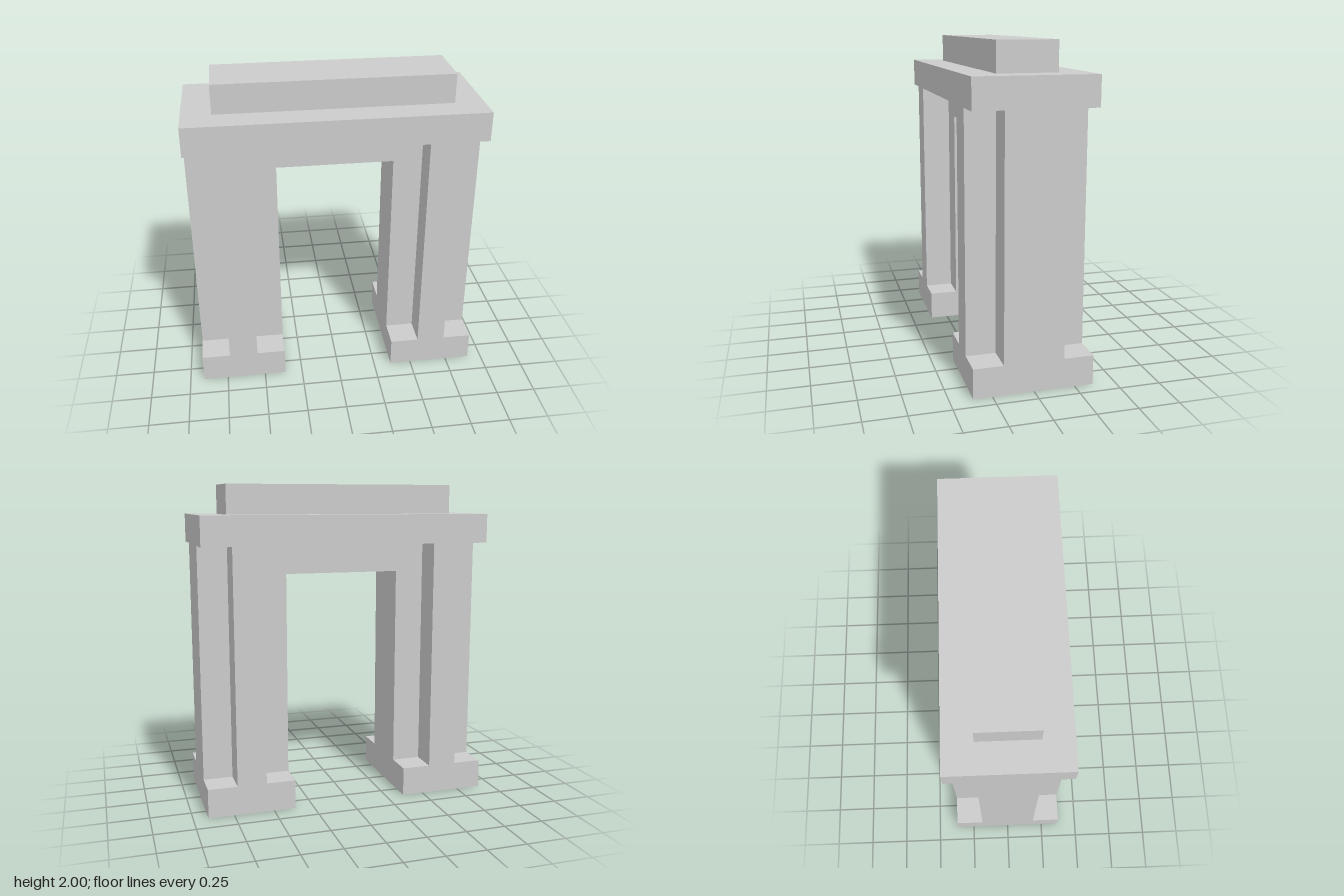
import * as THREE from 'three';

const U = 2 / 11; // the whole gate sits on an eleven-unit-high block grid

export function createModel() {
  const gate = new THREE.Group();
  gate.name = 'gate';
  const material = new THREE.MeshStandardMaterial({ color: 0xcccccc, flatShading: true });

  const add = (name, geometry) => {
    const mesh = new THREE.Mesh(geometry, material);
    mesh.name = name;
    gate.add(mesh);
    return mesh;
  };

  // Box given by its extents in grid units
  const block = (name, [x0, x1], [y0, y1], [z0, z1]) => {
    const mesh = add(name, new THREE.BoxGeometry((x1 - x0) * U, (y1 - y0) * U, (z1 - z0) * U));
    mesh.position.set((x0 + x1) / 2, (y0 + y1) / 2, (z0 + z1) / 2).multiplyScalar(U);
  };

  // Arch core: both leg walls and the lintel in one piece
  const outline = [[-5, 1], [-2, 1], [-2, 8], [2, 8], [2, 1], [5, 1], [5, 9], [-5, 9]];
  const arch = new THREE.Shape(outline.map(([x, y]) => new THREE.Vector2(x * U, y * U)));
  const core = new THREE.ExtrudeGeometry(arch, { depth: 2 * U, bevelEnabled: false });
  core.translate(0, 0, -U);
  add('archCore', core);

  // Feet, and pilasters on the front and back of each leg
  for (const [side, sx] of [['left', 1], ['right', -1]]) {
    const mirror = (a, b, s) => (s > 0 ? [a, b] : [-b, -a]);
    block(side + 'Foot', mirror(2, 5, sx), [0, 1], [-2, 2]);
    for (const [face, sz] of [['Front', 1], ['Back', -1]]) {
      block(side + face + 'Pilaster', mirror(3, 4, sx), [1, 9], mirror(1, 2, sz));
    }
  }

  // Roof slab and the raised cap on top
  block('roofSlab', [-5, 5], [9, 10], [-2, 2]);
  block('roofCap', [-4, 4], [10, 11], [-1, 1]);

  return gate;
}
